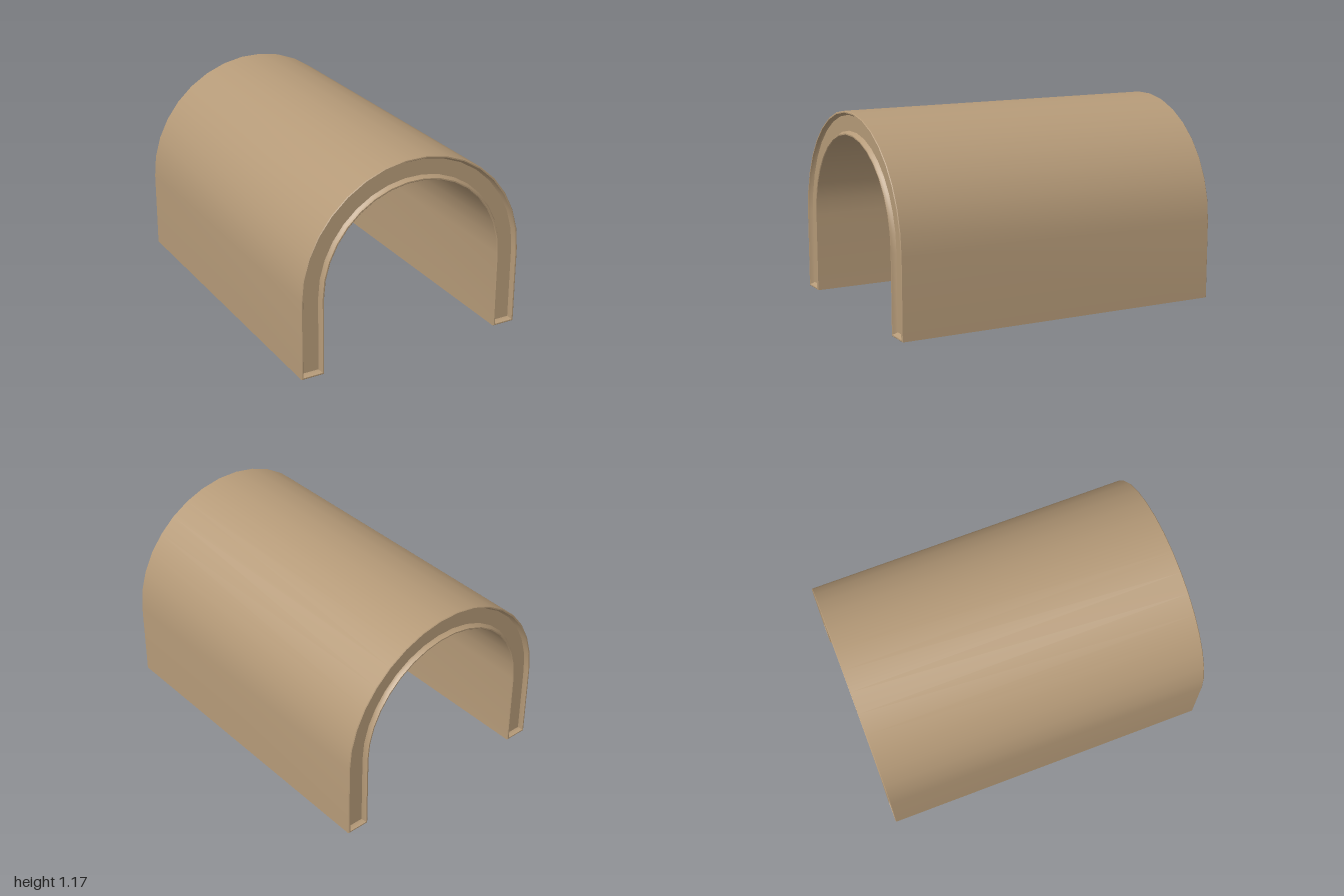
import * as THREE from 'three';
import { toCreasedNormals } from 'three/addons/utils/BufferGeometryUtils.js';

const OUTER = 0.7, INNER = 0.56, SPRING = 0.468, SEGMENTS = 17;

// Arch outline shrunk by d on every side, counter-clockwise seen from the front
function archOutline(d) {
  const pts = [];
  const arc = (r, i) => {
    const a = (Math.PI * i) / SEGMENTS;
    pts.push([r * Math.cos(a), SPRING + r * Math.sin(a)]);
  };
  const ro = OUTER - d, ri = INNER + d;
  pts.push([ro, d]);
  for (let i = 0; i <= SEGMENTS; i++) arc(ro, i);
  pts.push([-ro, d], [-ri, d]);
  for (let i = SEGMENTS; i >= 0; i--) arc(ri, i);
  pts.push([ri, d]);
  return pts;
}

// Bevelled rim stepping in to a recessed panel: [inset, z]
const RIM = [[0, 0.996], [0.004, 1], [0.011, 1], [0.016, 0.985], [0.025, 0.975]];

function archGeometry() {
  const rings = [
    ...[...RIM].reverse().map(([d, z]) => [d, -z]),
    ...RIM,
  ];
  const n = archOutline(0).length;
  const pos = [], idx = [];
  for (const [d, z] of rings) for (const [x, y] of archOutline(d)) pos.push(x, y, z);

  // Outer shell, inner vault, feet and rims
  for (let r = 0; r < rings.length - 1; r++) {
    for (let i = 0; i < n; i++) {
      const j = (i + 1) % n;
      const a = r * n + i, b = r * n + j, c = b + n, d = a + n;
      idx.push(a, b, c, a, c, d);
    }
  }
  // Recessed end panels, bridging the outer and inner curves
  const f = (rings.length - 1) * n;
  for (let i = 0; i < n / 2 - 1; i++) {
    const j = i + 1, k = n - 2 - i, l = n - 1 - i;
    idx.push(f + i, f + j, f + k, f + i, f + k, f + l);
    idx.push(i, k, j, i, l, k);
  }
  const g = new THREE.BufferGeometry();
  g.setAttribute('position', new THREE.Float32BufferAttribute(pos, 3));
  g.setIndex(idx);
  return toCreasedNormals(g, 0.45);
}

export function createModel() {
  const group = new THREE.Group();
  group.name = 'archTunnel';
  const arch = new THREE.Mesh(
    archGeometry(),
    new THREE.MeshStandardMaterial({ color: 0xb59a78 })
  );
  arch.name = 'archVault';
  group.add(arch);
  return group;
}
